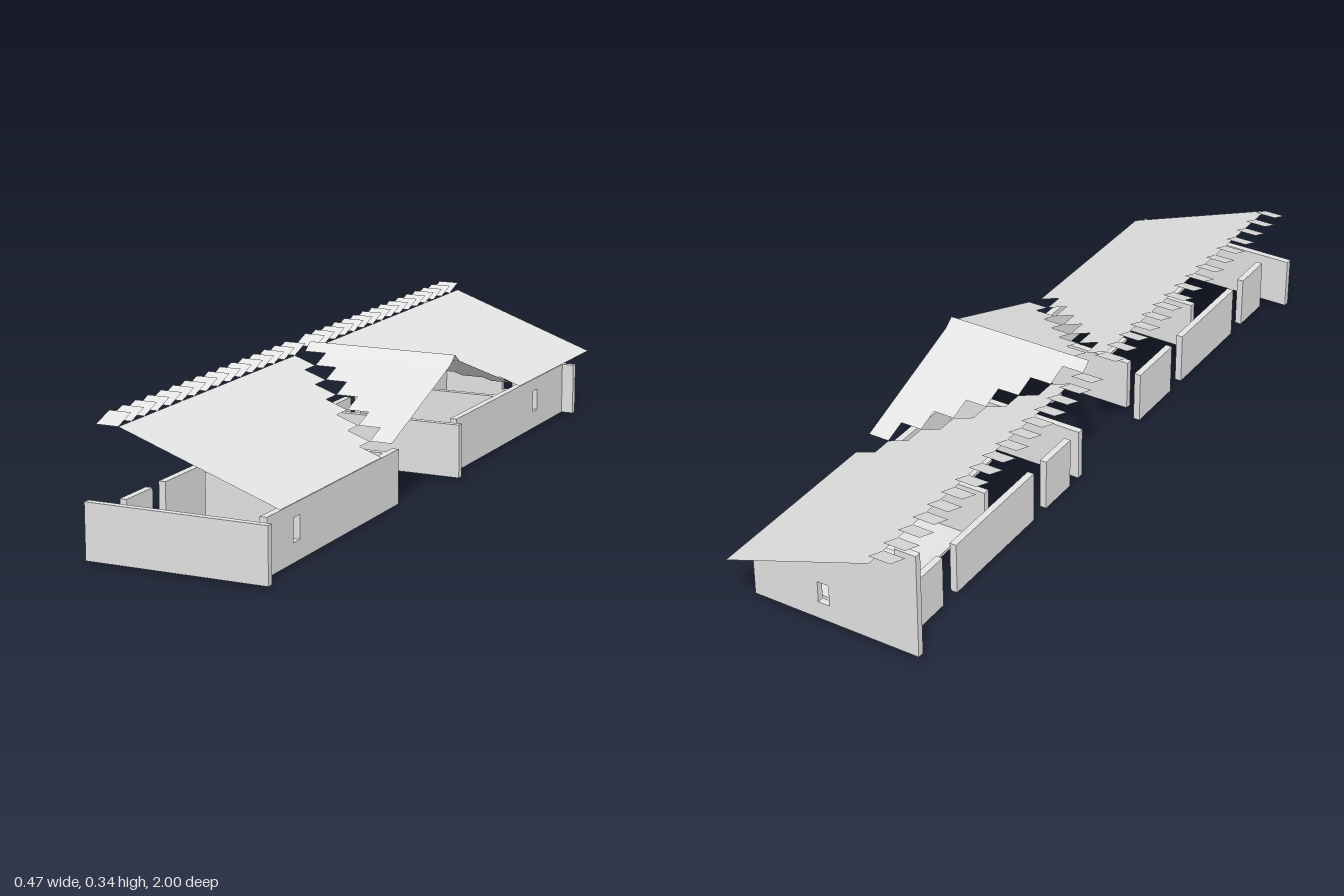
import * as THREE from 'three';

const U = 2 / 34;        // grid cell
const RISE = 0.0211;     // roof rise per cell
const T = 0.018;         // wall thickness
const HALF = 4 * U;      // half width of the building
const EAVE = 0.3165;     // roof height at the upper edge
const BASE = 0.008, TOP = 0.148;
const LOW_WALL = 0.202;  // outer face of the walls on the low side
const PORCH = -3 * U;    // outer face of the walls on the high side

export function createModel() {
  const model = new THREE.Group();
  const grey = new THREE.MeshStandardMaterial({ color: 0xe4e4e4 });
  const greySheet = new THREE.MeshStandardMaterial({ color: 0xe4e4e4, side: THREE.DoubleSide });
  grey.name = 'light grey';
  greySheet.name = 'light grey sheet';

  const add = (name, geometry, material = grey) => {
    const mesh = new THREE.Mesh(geometry, material);
    mesh.name = name;
    model.add(mesh);
  };
  const box = (name, x0, x1, y0, y1, z0, z1) => {
    const g = new THREE.BoxGeometry(x1 - x0, y1 - y0, z1 - z0);
    g.translate((x0 + x1) / 2, (y0 + y1) / 2, (z0 + z1) / 2);
    add(name, g);
  };
  // Upright wall outline with a window hole, extruded to wall thickness
  const wallGeometry = (outline, windowAt) => {
    const shape = new THREE.Shape(outline.map(([a, b]) => new THREE.Vector2(a, b)));
    const w = 0.016;
    shape.holes.push(new THREE.Path([
      [windowAt - w, 0.056], [windowAt - w, 0.115], [windowAt + w, 0.115], [windowAt + w, 0.056],
    ].map(([a, b]) => new THREE.Vector2(a, b))));
    return new THREE.ExtrudeGeometry(shape, { depth: T, bevelEnabled: false });
  };
  // One sheet made of several four-cornered pieces
  const sheet = (name, quads) => {
    const pos = [];
    for (const [a, b, c, d] of quads) pos.push(...a, ...b, ...c, ...a, ...c, ...d);
    const g = new THREE.BufferGeometry();
    g.setAttribute('position', new THREE.Float32BufferAttribute(pos, 3));
    g.computeVertexNormals();
    add(name, g, greySheet);
  };

  // Long walls on the low side, each with a window
  const sideWall = (name, z0, z1, windowZ) => {
    const g = wallGeometry([[z0, BASE], [z1, BASE], [z1, TOP], [z0, TOP]], windowZ);
    g.rotateY(-Math.PI / 2);
    g.translate(LOW_WALL, 0, 0);
    add(name, g);
  };
  sideWall('frontWingSideWall', 0.24, 16 * U, 0.796);
  sideWall('rearWingSideWall', -15 * U, -2 * U, -0.672);

  // Walls on the high side, with one-cell door gaps
  for (const [a, b] of [[4.1, 7], [8, 13], [14, 16], [-4, -2], [-11, -5], [-15, -12]]) {
    box('porchWall', PORCH, PORCH + T, BASE, TOP, a * U, b * U);
  }

  // Cross walls
  box('frontWall', -HALF, HALF, BASE, TOP, 1 - T, 1);
  box('middleWall', PORCH, HALF, BASE, TOP, -U - T, -U);
  for (const cell of [5, 11, -7]) {
    box('partitionWall', -2 * U, LOW_WALL - T, BASE, TOP, cell * U - T, cell * U);
  }

  // Stepped gable at the back
  const outline = [[-HALF, BASE], [HALF, BASE]];
  for (let k = 7; k >= 0; k--) {
    const y = TOP + RISE * (7 - k);
    outline.push([-HALF + (k + 1) * U, y], [-HALF + k * U, y]);
  }
  const gable = wallGeometry(outline, 0.032);
  gable.translate(0, 0, -15 * U - T);
  add('steppedGable', gable);

  // Floor slabs and a small ledge
  for (const z of [14 * U, 8 * U, -4 * U]) box('floorSlab', U, 2 * U, 0, BASE, z, z + 2 * U);
  box('largeFloorSlab', -U, 3 * U, 0, BASE, -14 * U, -6.7 * U);
  box('ledge', 0.06, 0.095, 0.012, 0.02, 0.185, 0.235);

  // Main roof: strips cut back in steps where the cross roof meets them
  const front = [], rear = [], crossFront = [], crossRear = [];
  for (let i = 0; i < 7; i++) {
    const xa = PORCH + i * U, xb = xa + U;
    const ya = EAVE - i * RISE, yb = ya - RISE;
    const strip = (z0, z1) => [[xa, ya, z0], [xa, ya, z1], [xb, yb, z1], [xb, yb, z0]];
    front.push(strip((i + 1) * U, 16 * U));
    rear.push(strip(-17 * U, -(i + 2) * U));
    // Cross roof slopes, growing by one cell per strip
    if (i > 0) {
      crossFront.push([[xa, EAVE, 0], [xa, ya, i * U], [xb, ya, i * U], [xb, EAVE, 0]]);
      crossRear.push([[xa, EAVE, -U], [xb, EAVE, -U], [xb, ya, -(i + 1) * U], [xa, ya, -(i + 1) * U]]);
    }
  }
  sheet('frontWingRoof', front);
  sheet('rearWingRoof', rear);
  sheet('crossRoofFront', crossFront);
  sheet('crossRoofRear', crossRear);

  // Ridge of the cross roof
  const peak = EAVE + RISE, l = PORCH, r = HALF;
  sheet('crossRidge', [
    [[l, peak, -U / 2], [l, EAVE, 0], [r, EAVE, 0], [r, peak, -U / 2]],
    [[l, EAVE, -U], [l, peak, -U / 2], [r, peak, -U / 2], [r, EAVE, -U]],
  ]);

  // Tilted tiles along the upper edge
  const tiles = [];
  for (let k = -17; k < 16; k++) {
    if (k === -1) continue;
    const z0 = k * U, z1 = z0 + U;
    tiles.push([[-HALF, peak, z0], [-HALF, EAVE, z1], [l, EAVE, z1], [l, peak, z0]]);
  }
  sheet('edgeTiles', tiles);

  return model;
}
